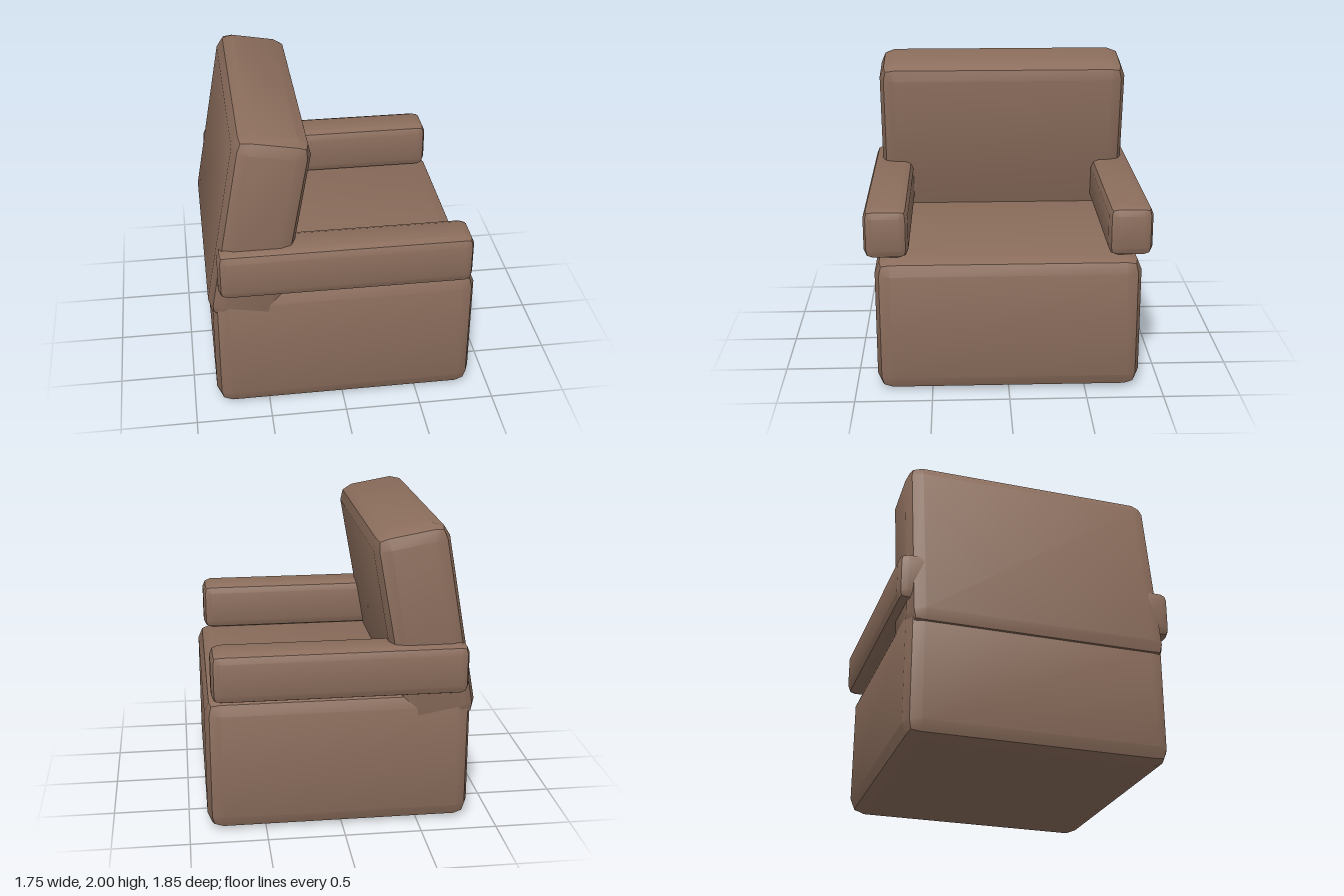
import * as THREE from 'three';
import { RoundedBoxGeometry } from 'three/addons/geometries/RoundedBoxGeometry.js';
import { toCreasedNormals } from 'three/addons/utils/BufferGeometryUtils.js';

export function createModel() {
  const model = new THREE.Group();
  model.name = 'armchair';

  const upholstery = new THREE.MeshStandardMaterial({ color: 0x8b6d5c });
  upholstery.name = 'brown upholstery';

  // Block with two-step bevels; the middle edge of each bevel stays sharp
  function cushion(name, size, position, bevel) {
    const geometry = toCreasedNormals(new RoundedBoxGeometry(...size, 1, bevel), Math.PI / 6);
    const mesh = new THREE.Mesh(geometry, upholstery);
    mesh.name = name;
    mesh.position.set(...position);
    model.add(mesh);
    return mesh;
  }

  // Seat block, open side towards +x
  cushion('seatBase', [1.73, 0.905, 1.72], [0.015, 0.4525, 0], 0.1);

  // Backrest leaning towards the seat
  const backrest = cushion('backrest', [0.49, 1.313, 1.72], [-0.537, 1.329, 0], 0.1);
  backrest.rotation.z = -THREE.MathUtils.degToRad(10);

  // Armrests on both sides
  for (const [name, side] of [['frontArmrest', 1], ['backArmrest', -1]]) {
    cushion(name, [1.645, 0.33, 0.285], [0.0125, 1.07, side * 0.782], 0.058);
  }

  return model;
}
